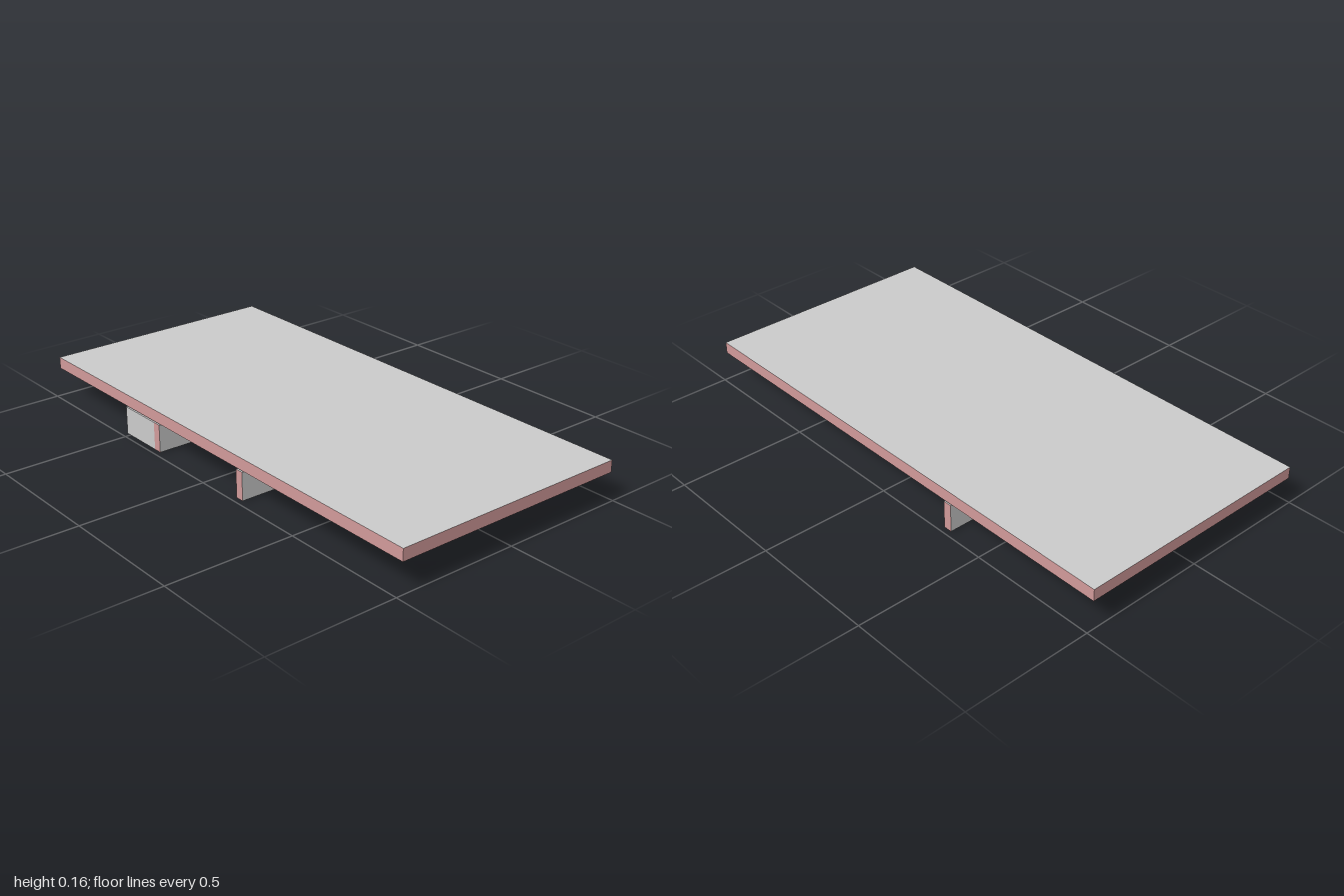
import * as THREE from 'three';
import { toCreasedNormals } from 'three/addons/utils/BufferGeometryUtils.js';

const grey = new THREE.MeshStandardMaterial({ color: 0xcccccc });
const pink = new THREE.MeshStandardMaterial({ color: 0xd29a9a });

const W = 0.477;      // half width of the floor plate
const H = 0.109;      // wall height
const T = 0.034;      // wall thickness

// Box from its extents; faces in order +x, -x, +y, -y, +z, -z, listed ones cut pink
function block(name, [x0, x1], [y0, y1], [z0, z1], cutFaces = []) {
  const geometry = new THREE.BoxGeometry(x1 - x0, y1 - y0, z1 - z0);
  geometry.translate((x0 + x1) / 2, (y0 + y1) / 2, (z0 + z1) / 2);
  const materials = [0, 1, 2, 3, 4, 5].map((i) => (cutFaces.includes(i) ? pink : grey));
  const mesh = new THREE.Mesh(geometry, materials);
  mesh.name = name;
  return mesh;
}

// Short return wall with a rounded inner corner where it leaves the cross wall
function returnWall() {
  const near = 0.335, far = 0.52, inner = -W + T, r = 0.03;
  const shape = new THREE.Shape();
  shape.moveTo(-W, near);
  shape.lineTo(-W, far);
  shape.lineTo(inner, far);
  shape.lineTo(inner, near + r);
  shape.absarc(inner + r, near + r, r, Math.PI, Math.PI * 1.5, false);
  shape.closePath();
  const geometry = new THREE.ExtrudeGeometry(shape, { depth: H, bevelEnabled: false, curveSegments: 8 });
  geometry.rotateX(-Math.PI / 2);
  const mesh = new THREE.Mesh(toCreasedNormals(geometry, 0.6), grey);
  mesh.name = 'returnWall';
  return mesh;
}

export function createModel() {
  const model = new THREE.Group();
  model.name = 'slabOnWalls';

  // Flat slab with cut edges all round
  model.add(block('slab', [-W, W], [0.115, 0.161], [-1, 1], [0, 1, 4, 5]));

  // Walls beneath the slab, with cut ends flush with the slab sides
  const walls = new THREE.Group();
  walls.name = 'walls';
  walls.add(
    block('crossWall', [-W, W], [0, H], [-0.335, -0.301], [0, 1]),
    block('stemWall', [-0.092 - T, -0.092], [0, H], [-0.301, 0.2]),
    block('frontWall', [-W, -0.092 - T], [0, H], [0.2 - T, 0.2], [1]),
    returnWall()
  );
  model.add(walls);
  return model;
}
